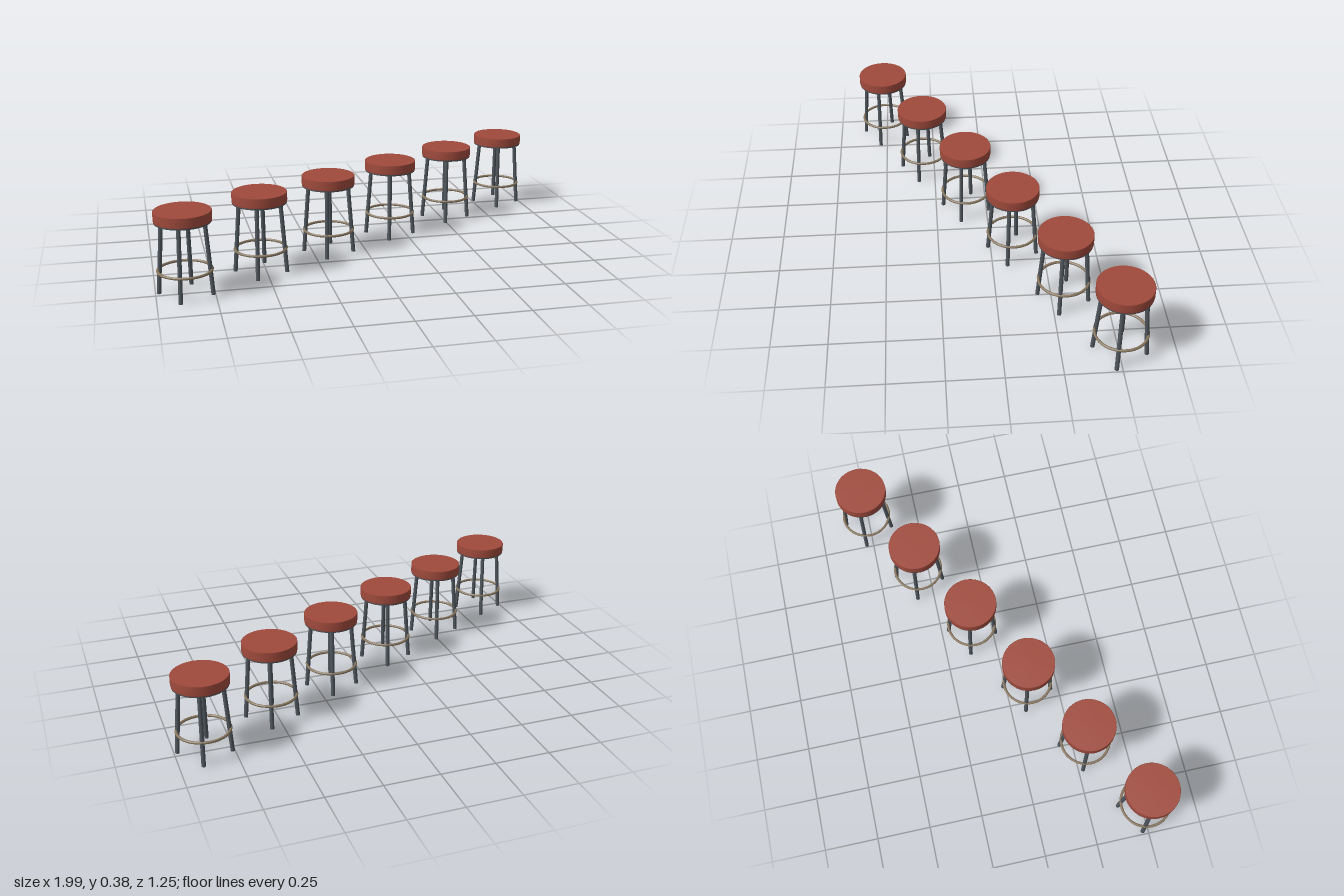
import * as THREE from 'three';

const material = (color) => {
  const m = new THREE.MeshStandardMaterial();
  m.color.set(color);
  return m;
};

function part(name, geometry, mat) {
  const mesh = new THREE.Mesh(geometry, mat);
  mesh.name = name;
  return mesh;
}

export function createModel() {
  const group = new THREE.Group();
  group.name = 'rowOfStools';
  const red = material(0xa04a3c);
  const metal = material(0x50585e);
  const brass = material(0x8a7860);

  // Padded seat: one soft-shaded profile, open below where the base closes it
  const seatGeo = new THREE.LatheGeometry(
    [[0.122, 0.331], [0.123, 0.336], [0.123, 0.374], [0.121, 0.376], [0, 0.376]]
      .map(([r, y]) => new THREE.Vector2(r, y)), 40);

  // Plate under the cushion
  const baseGeo = new THREE.CylinderGeometry(0.122, 0.121, 0.007, 40);
  baseGeo.translate(0, 0.3285, 0);

  // Foot ring
  const ringGeo = new THREE.TorusGeometry(0.115, 0.0062, 8, 40);
  ringGeo.rotateX(Math.PI / 2).translate(0, 0.112, 0);

  // Splayed leg from foot to seat, on the +x side
  const foot = new THREE.Vector3(0.117, 0.001, 0);
  const top = new THREE.Vector3(0.092, 0.329, 0);
  const axis = top.clone().sub(foot);
  const legGeo = new THREE.CylinderGeometry(0.0095, 0.0095, axis.length(), 12);
  legGeo.applyQuaternion(new THREE.Quaternion().setFromUnitVectors(
    new THREE.Vector3(0, 1, 0), axis.clone().normalize()));
  const mid = foot.clone().add(top).multiplyScalar(0.5);
  legGeo.translate(mid.x, mid.y, mid.z);

  // Six stools along a diagonal line
  for (let i = 0; i < 6; i++) {
    const stool = new THREE.Group();
    stool.name = `stool${i + 1}`;
    stool.add(part('seat', seatGeo, red));
    stool.add(part('seatBase', baseGeo, metal));
    stool.add(part('footRing', ringGeo, brass));
    for (let k = 0; k < 4; k++) {
      const leg = part(`leg${k + 1}`, legGeo, metal);
      leg.rotation.y = -Math.PI / 12 + k * Math.PI / 2;
      stool.add(leg);
    }
    stool.position.set((i - 2.5) * 0.349, 0, (2.5 - i) * 0.2015);
    group.add(stool);
  }
  return group;
}
